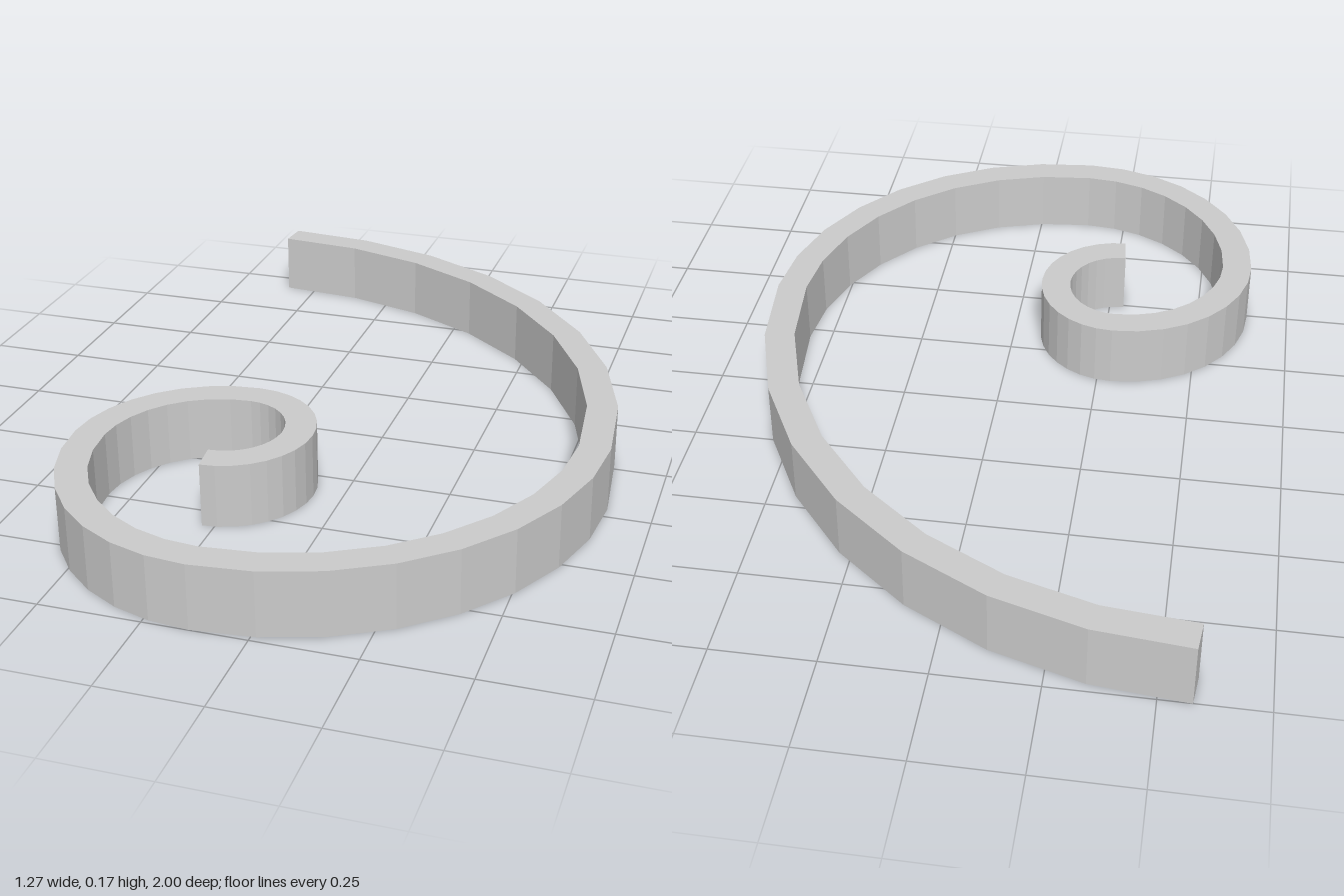
import * as THREE from 'three';

const HEIGHT = 0.165, HALF_WIDTH = 0.039, STEPS = 8;

// Extreme points (x, z) of the spiral, joined by quarter arcs
const KEYS = [
  [-0.285, 0.53], [-0.111, 0.352], [-0.285, 0.172], [-0.599, 0.488],
  [-0.14, 0.96], [0.598, 0.214], [-0.582, -0.962],
].map(([x, z]) => new THREE.Vector2(x, -z));

function spiralPath() {
  const points = [KEYS[0].clone()];
  for (let i = 0; i < KEYS.length - 1; i++) {
    const p = KEYS[i], q = KEYS[i + 1];
    const c = i % 2 === 0 ? new THREE.Vector2(p.x, q.y) : new THREE.Vector2(q.x, p.y);
    for (let s = 1; s <= STEPS; s++) {
      const t = (s / STEPS) * Math.PI / 2;
      points.push(c.clone()
        .addScaledVector(p.clone().sub(c), Math.cos(t))
        .addScaledVector(q.clone().sub(c), Math.sin(t)));
    }
  }
  return points;
}

// Closed outline of a band of constant width along the path
function bandShape(path) {
  const left = [], right = [];
  path.forEach((p, i) => {
    const a = path[Math.max(i - 1, 0)], b = path[Math.min(i + 1, path.length - 1)];
    const d = b.clone().sub(a).normalize();
    const n = new THREE.Vector2(-d.y, d.x);
    left.push(p.clone().addScaledVector(n, HALF_WIDTH));
    right.push(p.clone().addScaledVector(n, -HALF_WIDTH));
  });
  return new THREE.Shape([...right, ...left.reverse()]);
}

export function createModel() {
  const group = new THREE.Group();
  group.name = 'spiralScroll';

  // Flat band extruded upwards
  const geometry = new THREE.ExtrudeGeometry(bandShape(spiralPath()), {
    depth: HEIGHT, bevelEnabled: false, steps: 1,
  });
  geometry.rotateX(-Math.PI / 2);
  const band = new THREE.Mesh(geometry,
    new THREE.MeshStandardMaterial({ color: 0xcccccc, flatShading: true }));
  band.name = 'spiralBand';
  group.add(band);
  return group;
}
